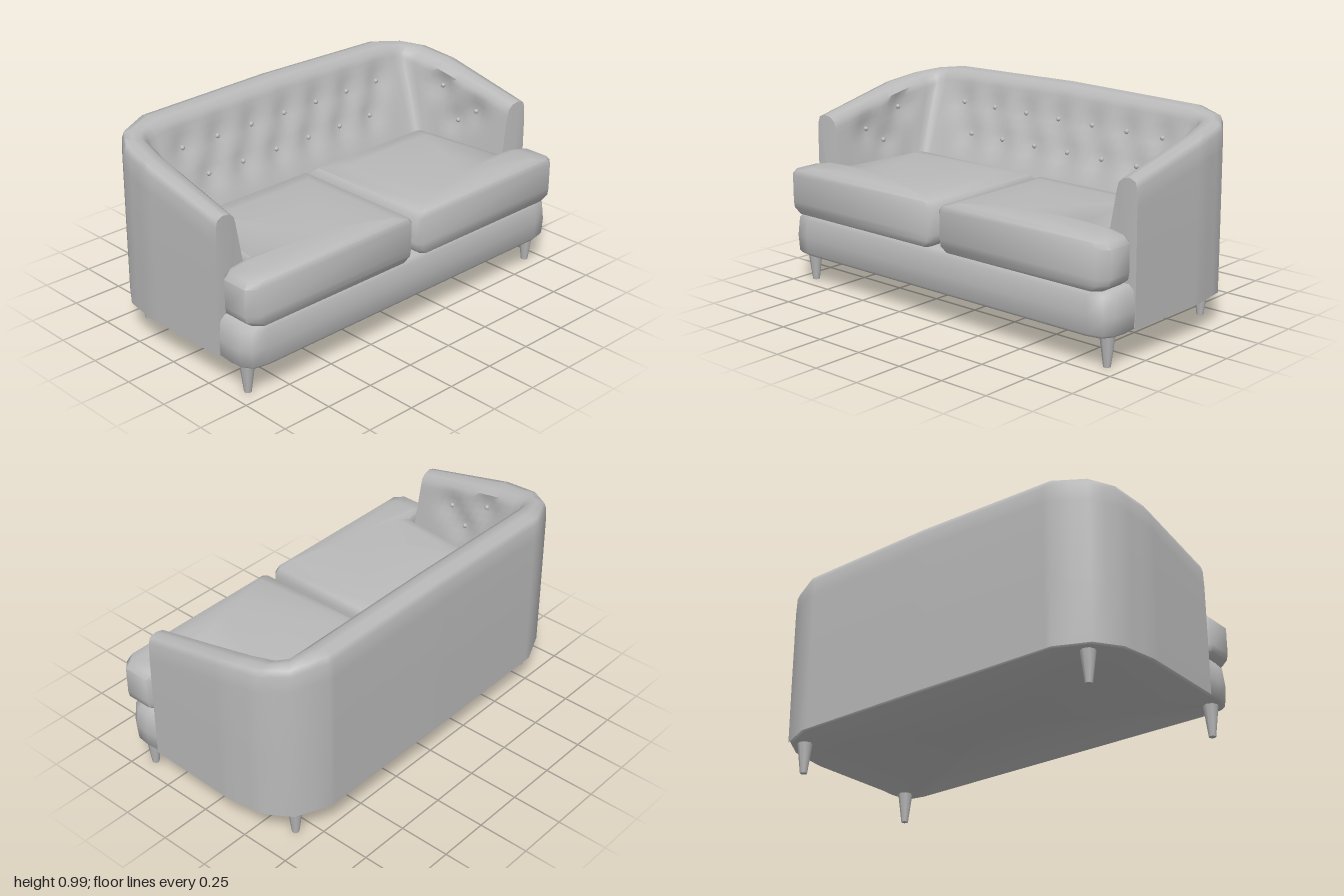
import * as THREE from 'three';
import { toCreasedNormals } from 'three/addons/utils/BufferGeometryUtils.js';

const fabric = new THREE.MeshStandardMaterial({ color: 0xb9b9b9 });
fabric.name = 'grey fabric';

const lerp = THREE.MathUtils.lerp;
const V = (x, y, z) => new THREE.Vector3(x, y, z);

function addMesh(group, name, geometry) {
  const mesh = new THREE.Mesh(geometry, fabric);
  mesh.name = name;
  group.add(mesh);
  return mesh;
}

function toGeometry(triangles, crease) {
  const g = new THREE.BufferGeometry().setFromPoints(triangles);
  g.computeVertexNormals();
  return toCreasedNormals(g, crease);
}

// Skin between successive rows of points; closed rows wrap round
function skin(rows, closed) {
  const tris = [];
  const n = rows[0].length;
  for (let i = 0; i + 1 < rows.length; i++) {
    for (let j = 0; j < (closed ? n : n - 1); j++) {
      const k = (j + 1) % n;
      const a = rows[i][j], b = rows[i][k], c = rows[i + 1][k], d = rows[i + 1][j];
      tris.push(a, b, c, a, c, d);
    }
  }
  return tris;
}

// Fan of triangles from a centre point over a ring
function fan(ring, centre, flip) {
  const tris = [];
  ring.forEach((p, i) => {
    const q = ring[(i + 1) % ring.length];
    tris.push(centre, flip ? q : p, flip ? p : q);
  });
  return tris;
}

// Closed padded solid: an outline [x, z] scaled about a centre at several heights
function pad(outline, [cx, cz], levels, topY, crease) {
  const rings = levels.map(([s, y]) =>
    outline.map(([x, z]) => V(cx + (x - cx) * s, y, cz + (z - cz) * s)));
  return toGeometry([
    ...skin(rings, true),
    ...fan(rings[0], V(cx, levels[0][1], cz), true),
    ...fan(rings[rings.length - 1], V(cx, topY, cz), false),
  ], crease);
}

// Half of the wrap-around wall, from arm front to middle of the back:
// outer x,z | inner top x,z | inner bottom x,z | height | steps to next
const STATIONS = [
  [0.988, 0.315, 0.87, 0.305, 0.80, 0.315, 0.815, 12],
  [0.997, -0.15, 0.845, -0.20, 0.765, -0.08, 0.92, 3],
  [0.97, -0.335, 0.82, -0.34, 0.75, -0.10, 0.947, 2],
  [0.89, -0.455, 0.80, -0.365, 0.74, -0.12, 0.962, 2],
  [0.73, -0.527, 0.72, -0.375, 0.70, -0.13, 0.978, 22],
  [0, -0.532, 0, -0.38, 0, -0.13, 0.99, 0],
];

// Buttons: [x, y] across the back, [z, y] on each arm
const BACK_BUTTONS = [];
for (let i = -3; i <= 3; i++) BACK_BUTTONS.push([i * 0.207, 0.82]);
for (let i = -3; i < 3; i++) BACK_BUTTONS.push([(i + 0.5) * 0.208, 0.68]);
const ARM_BUTTONS = [[0.1, 0.72], [-0.12, 0.8], [0, 0.65]];

const dimple = (list, a, y) => list.reduce(
  (sum, [b, by]) => sum + 0.03 * Math.exp(-((a - b) ** 2 + (y - by) ** 2) / 0.0045), 0);

// Push tufted points back into the padding
function tuft(p) {
  if (Math.abs(p.x) < 0.74) p.z -= dimple(BACK_BUTTONS, p.x, p.y);
  else if (p.z > -0.2) p.x += Math.sign(p.x) * dimple(ARM_BUTTONS, p.z, p.y);
  return p;
}

// Cross-section of the wall: up the outside, over the top, down the tufted inside
function section([ox, oz, tx, tz, bx, bz, h]) {
  const across = (f, y) => V(lerp(ox, tx, f), y, lerp(oz, tz, f));
  const pts = [V(ox, 0.155, oz), V(ox, 0.45, oz), across(0.01, h - 0.12), across(0.04, h - 0.04),
    across(0.12, h - 0.012), across(0.4, h), across(0.72, h - 0.008), across(0.93, h - 0.03)];
  for (let i = 0; i <= 14; i++) {
    const f = i / 14;
    pts.push(tuft(V(lerp(tx, bx, f), lerp(h - 0.06, 0.34, f), lerp(tz, bz, f))));
  }
  return pts;
}

function wallGeometry() {
  const half = [];
  STATIONS.forEach((s, i) => {
    for (let k = 0; k < s[7]; k++) {
      half.push(s.map((v, c) => lerp(v, STATIONS[i + 1][c], k / s[7])));
    }
  });
  const mirrored = half.map((s) => s.map((v, c) => (c === 0 || c === 2 || c === 4 ? -v : v)));
  const sections = [...half, STATIONS[5], ...mirrored.reverse()].map(section);
  const rows = sections[0].map((_, r) => sections.map((sec) => sec[r]));
  const cap = (sec, flip) => fan(sec, V(Math.sign(sec[0].x) * 0.91, 0.5, 0.322), flip);
  return toGeometry([
    ...skin(rows, false),
    ...cap(sections[0], false),
    ...cap(sections[sections.length - 1], true),
  ], 0.95);
}

export function createModel() {
  const sofa = new THREE.Group();
  sofa.name = 'sofa';

  // Base with rounded corners and a gently bulging front
  const side = [[0.88, 0.51], [0.955, 0.495], [0.985, 0.45], [0.993, 0.38],
    ...STATIONS.slice(0, 5).map((s) => [s[0] - 0.001, s[1] + 0.001])];
  const outline = [...side, ...side.map(([x, z]) => [-x, z]).reverse()];
  addMesh(sofa, 'base', pad(outline, [0, 0],
    [[0.982, 0.15], [0.995, 0.163], [1, 0.24], [0.99, 0.33], [0.965, 0.353]], 0.36, 1.1));

  // Arms and back in one wrap-around shell
  addMesh(sofa, 'armsAndBack', wallGeometry());

  // T-shaped seat cushions, the gap between them slightly off centre
  const levels = [[0.92, 0.36], [0.99, 0.388], [1, 0.42], [1, 0.548], [0.95, 0.575],
    [0.78, 0.595], [0.4, 0.606]];
  for (const s of [1, -1]) {
    const inner = s > 0 ? 0.026 : 0.01;
    const shape = [[0.985, 0.49], [0.985, 0.36], [0.96, 0.335], [0.82, 0.325], [0.765, -0.19],
      [0.74, -0.2], [inner, -0.2], [inner, 0.51], [inner + 0.02, 0.53], [0.94, 0.53]]
      .map(([x, z]) => [x * s, z]);
    if (s < 0) shape.reverse();
    addMesh(sofa, s > 0 ? 'leftSeatCushion' : 'rightSeatCushion',
      pad(shape, [0.45 * s, 0.4], levels, 0.61, 1.0));
  }

  // Tufting buttons
  const button = new THREE.SphereGeometry(0.012, 10, 8);
  for (const [x, y] of BACK_BUTTONS) {
    const f = Math.abs(x) / 0.73;
    const h = lerp(0.99, 0.978, f) - 0.06;
    const z = lerp(lerp(-0.38, -0.375, f), -0.13, (h - y) / (h - 0.34));
    addMesh(sofa, 'backButton', button)
      .position.set(x, y, z - dimple(BACK_BUTTONS, x, y) + 0.004);
  }
  for (const s of [1, -1]) {
    for (const [z, y] of ARM_BUTTONS) {
      const f = (0.31 - z) / 0.46;
      const h = lerp(0.815, 0.92, f) - 0.06;
      const k = (h - y) / (h - 0.34);
      const x = lerp(lerp(0.87, 0.845, f), lerp(0.80, 0.765, f), k) + dimple(ARM_BUTTONS, z, y);
      addMesh(sofa, 'armButton', button).position.set(s * (x - 0.004), y, z);
    }
  }

  // Tapered legs, the back pair set further in
  const leg = new THREE.CylinderGeometry(0.038, 0.017, 0.165, 8);
  for (const s of [1, -1]) {
    addMesh(sofa, 'frontLeg', leg).position.set(s * 0.92, 0.0825, 0.418);
    addMesh(sofa, 'backLeg', leg).position.set(s * 0.83, 0.0825, -0.403);
  }
  return sofa;
}
